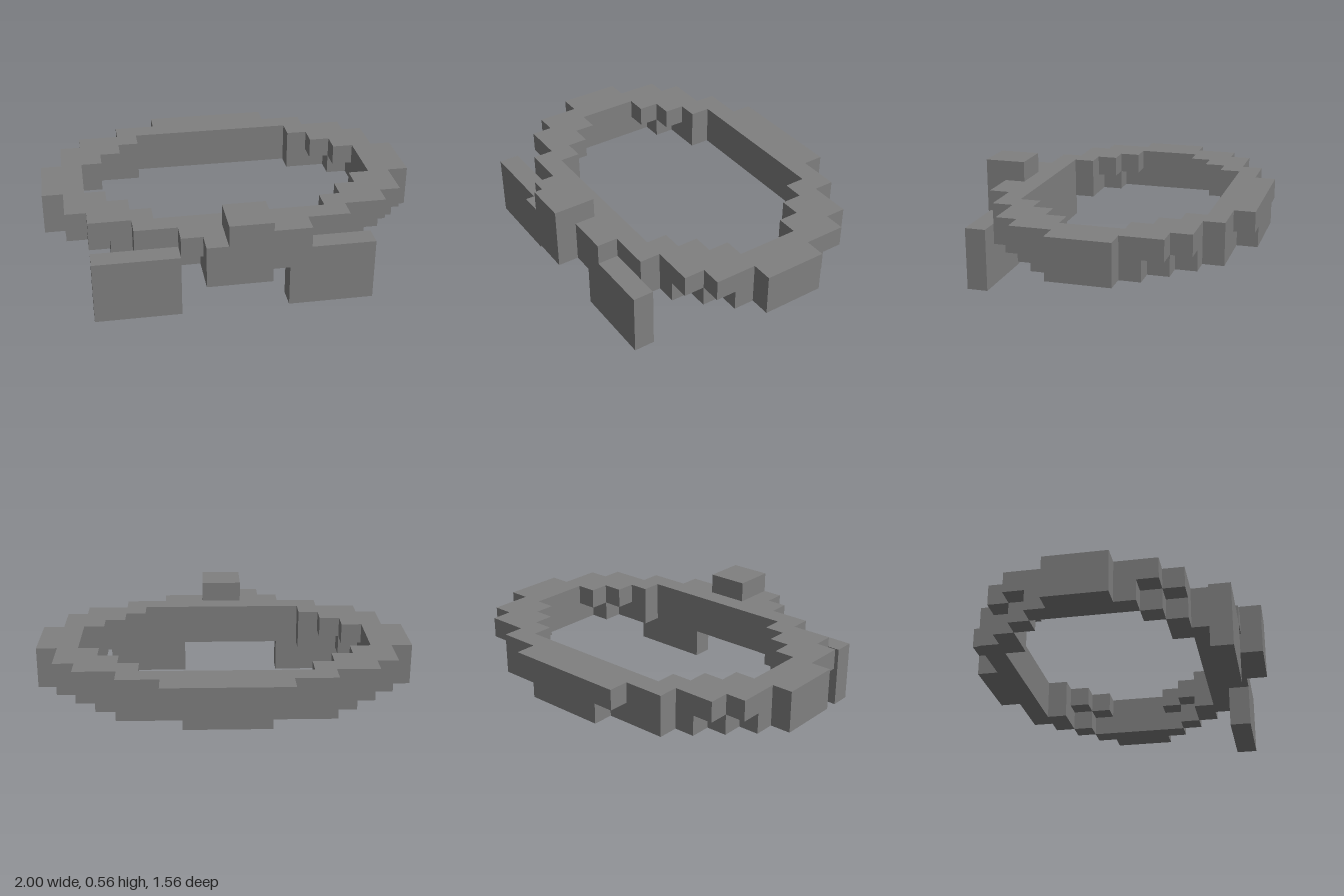
import * as THREE from 'three';
import { mergeGeometries } from 'three/addons/utils/BufferGeometryUtils.js';

const U = 1 / 9; // size of one block

// Box spanning two opposite corners, in block units
function block(x0, x1, y0, y1, z0, z1) {
  const g = new THREE.BoxGeometry((x1 - x0) * U, (y1 - y0) * U, (z1 - z0) * U);
  return g.translate((x0 + x1) / 2 * U, (y0 + y1) / 2 * U, (z0 + z1) / 2 * U);
}

// Rows of one ring layer from the side outwards: [inner x, outer x, near z, far z],
// z measured from the ring's middle; inner 0 means the row runs straight across.
const upperRows = [
  [6, 8, 1.5, 2.5], [5, 8, 2.5, 3.5], [4, 7, 3.5, 4.5], [0, 5, 4.5, 5.5], [0, 3, 5.5, 6.5],
];
const lowerRows = [
  [7, 8, 1.5, 2.5], [6, 7, 2.5, 3.5], [4, 6, 3.5, 4.5], [0, 5, 4.5, 5.5], [0, 2, 5.5, 6.5],
];

// Stepped oval layer, mirrored left to right and front to back
function ringLayer(rows, y) {
  const mid = -0.5;
  const parts = [];
  for (const s of [-1, 1]) {
    parts.push(block(s * 8 - 1, s * 8 + 1, y, y + 1, mid - 1.5, mid + 1.5));
    for (const [a, b, near, far] of rows) {
      const z0 = s > 0 ? mid + near : mid - far;
      const z1 = z0 + far - near;
      if (a === 0) parts.push(block(-b, b, y, y + 1, z0, z1));
      else {
        parts.push(block(a, b, y, y + 1, z0, z1));
        parts.push(block(-b, -a, y, y + 1, z0, z1));
      }
    }
  }
  return mergeGeometries(parts);
}

export function createModel() {
  const grey = new THREE.MeshStandardMaterial({ color: 0x808080 });
  grey.name = 'grey';
  const model = new THREE.Group();
  model.name = 'blockyHeadband';
  const add = (name, geometry) => {
    const mesh = new THREE.Mesh(geometry, grey);
    mesh.name = name;
    model.add(mesh);
  };

  // Band in two stepped layers, the lower one notched at the corners
  add('upperBand', ringLayer(upperRows, 3));
  add('lowerBand', ringLayer(lowerRows, 2));

  // Hanging front plates
  add('rightPlate', block(-7, -3, 0, 3, 5, 6));
  add('leftPlate', block(2, 6, 0, 3, 5, 6));

  // Raised block at the front
  add('frontBlock', block(-2, 1, 2, 4, 6, 7));
  add('frontCap', block(-1, 1, 4, 5, 5, 7));

  return model;
}
